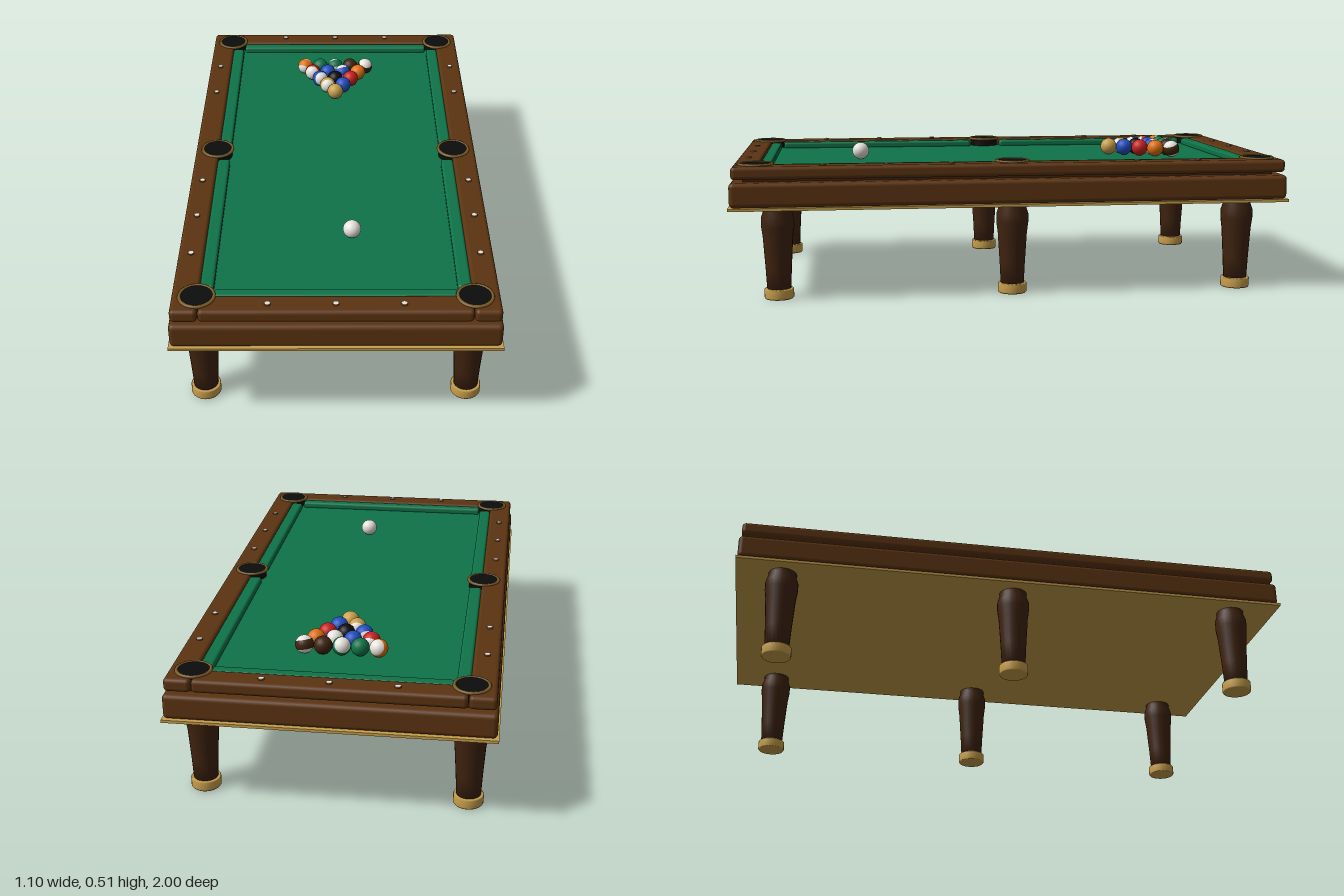
import * as THREE from 'three';
import { RoundedBoxGeometry } from 'three/addons/geometries/RoundedBoxGeometry.js';

const mat = (name, color, side = THREE.FrontSide) => {
  const m = new THREE.MeshStandardMaterial({ color, side });
  m.name = name;
  return m;
};

export function createModel() {
  const model = new THREE.Group();
  model.name = 'poolTable';
  const wood = mat('wood', 0x5c3411);
  const darkWood = mat('darkWood', 0x3f230f);
  const gold = mat('gold', 0xc9a04c);
  const bronze = mat('bronze', 0x7a5c28);
  const felt = mat('felt', 0x0e7348);
  const black = mat('black', 0x0c0c0c);
  const white = mat('white', 0xeeeae2);
  const red = mat('red', 0xc8201e);
  const blue = mat('blue', 0x1f4fc0);
  const orange = mat('orange', 0xe0700f);

  const add = (name, geometry, material, x = 0, y = 0, z = 0, parent = model) => {
    const mesh = new THREE.Mesh(geometry, material);
    mesh.name = name;
    mesh.position.set(x, y, z);
    parent.add(mesh);
    return mesh;
  };
  // Rounded box given by its bottom and top heights
  const slab = (name, w, y0, y1, d, r, material, x = 0, z = 0) =>
    add(name, new RoundedBoxGeometry(w, y1 - y0, d, 4, r), material, x, (y0 + y1) / 2, z);

  // Six turned legs with gold feet
  const legProfile = [[0, 0.03], [0.042, 0.03], [0.046, 0.11], [0.053, 0.22], [0.058, 0.258],
    [0.058, 0.288], [0.05, 0.312], [0.05, 0.33]].map(([r, y]) => new THREE.Vector2(r, y));
  const footProfile = [[0, 0], [0.049, 0], [0.052, 0.004], [0.052, 0.033], [0.049, 0.037], [0, 0.037]]
    .map(([r, y]) => new THREE.Vector2(r, y));
  const legGeo = new THREE.LatheGeometry(legProfile, 24);
  const footGeo = new THREE.LatheGeometry(footProfile, 24);
  for (const x of [-0.455, 0.455]) for (const z of [-0.835, 0, 0.835]) {
    add('leg', legGeo, darkWood, x, 0, z);
    add('foot', footGeo, gold, x, 0, z);
  }

  // Body
  add('bottomTrim', new THREE.BoxGeometry(1.1, 0.01, 2), gold, 0, 0.33, 0);
  slab('apron', 1.09, 0.335, 0.422, 1.99, 0.016, wood);
  add('neck', new THREE.BoxGeometry(1, 0.03, 1.9), darkWood, 0, 0.427, 0);
  add('playingBed', new THREE.BoxGeometry(0.92, 0.02, 1.82), felt, 0, 0.44, 0);

  // Rails and cushions
  for (const s of [-1, 1]) {
    slab('sideRail', 0.09, 0.432, 0.478, 1.975, 0.014, wood, s * 0.494);
    slab('endRail', 0.895, 0.432, 0.478, 0.09, 0.014, wood, 0, s * 0.942);
    slab('endCushion', 0.8, 0.445, 0.474, 0.042, 0.01, felt, 0, s * 0.877);
    for (const t of [-1, 1])
      slab('sideCushion', 0.046, 0.445, 0.474, 0.785, 0.01, felt, s * 0.427, t * 0.455);
  }

  // Pockets: dark opening inside a bronze ring
  const holeGeo = new THREE.CylinderGeometry(0.055, 0.055, 0.038, 32);
  const ringGeo = new THREE.TorusGeometry(0.057, 0.006, 8, 36).rotateX(Math.PI / 2);
  for (const x of [-0.455, 0.455]) for (const z of [-0.905, 0, 0.905]) {
    add('pocketHole', holeGeo, black, x, 0.463, z);
    add('pocketRing', ringGeo, bronze, x, 0.479, z);
  }

  // Sight markers on the rails
  const studGeo = new THREE.CylinderGeometry(0.01, 0.012, 0.006, 12);
  const dotGeo = new THREE.CylinderGeometry(0.01, 0.01, 0.001, 12);
  const sight = (x, z) => {
    add('sightBase', studGeo, wood, x, 0.479, z);
    add('sightDot', dotGeo, white, x, 0.4825, z);
  };
  for (const s of [-1, 1]) {
    for (const x of [-0.222, 0, 0.222]) sight(x, s * 0.945);
    for (const z of [-0.672, -0.448, 0.222, 0.448, 0.672]) sight(s * 0.495, z);
  }

  // Balls: solid spheres, or white caps around a coloured band
  const R = 0.032, ballY = 0.45 + R;
  const solidGeo = new THREE.SphereGeometry(R, 24, 16);
  const zone = (from, to) =>
    new THREE.SphereGeometry(R, 24, 6, 0, Math.PI * 2, from * Math.PI, (to - from) * Math.PI);
  const capTop = zone(0, 0.33), band = zone(0.33, 0.67), capBottom = zone(0.67, 1);
  const ball = (color, striped, x, z, turn) => {
    if (!striped) return add('ball', solidGeo, color, x, ballY, z);
    const g = new THREE.Group();
    g.name = 'stripedBall';
    g.position.set(x, ballY, z);
    g.rotation.set(0.7 + turn * 0.3, turn * 1.7, 0.4);
    add('capTop', capTop, white, 0, 0, 0, g);
    add('stripe', band, color, 0, 0, 0, g);
    add('capBottom', capBottom, white, 0, 0, 0, g);
    model.add(g);
  };
  const rack = [
    [[gold, 0]],
    [[gold, 1], [blue, 0]],
    [[blue, 1], [black, 0], [red, 0]],
    [[red, 1], [blue, 0], [blue, 1], [orange, 0]],
    [[orange, 1], [felt, 0], [felt, 1], [darkWood, 0], [darkWood, 1]],
  ];
  rack.forEach((row, i) => row.forEach(([color, striped], j) =>
    ball(color, striped, (j - i / 2) * 2 * R, -0.45 - i * R * Math.sqrt(3), i + j)));
  ball(white, 0, 0.057, 0.535, 0).name = 'cueBall';

  return model;
}
